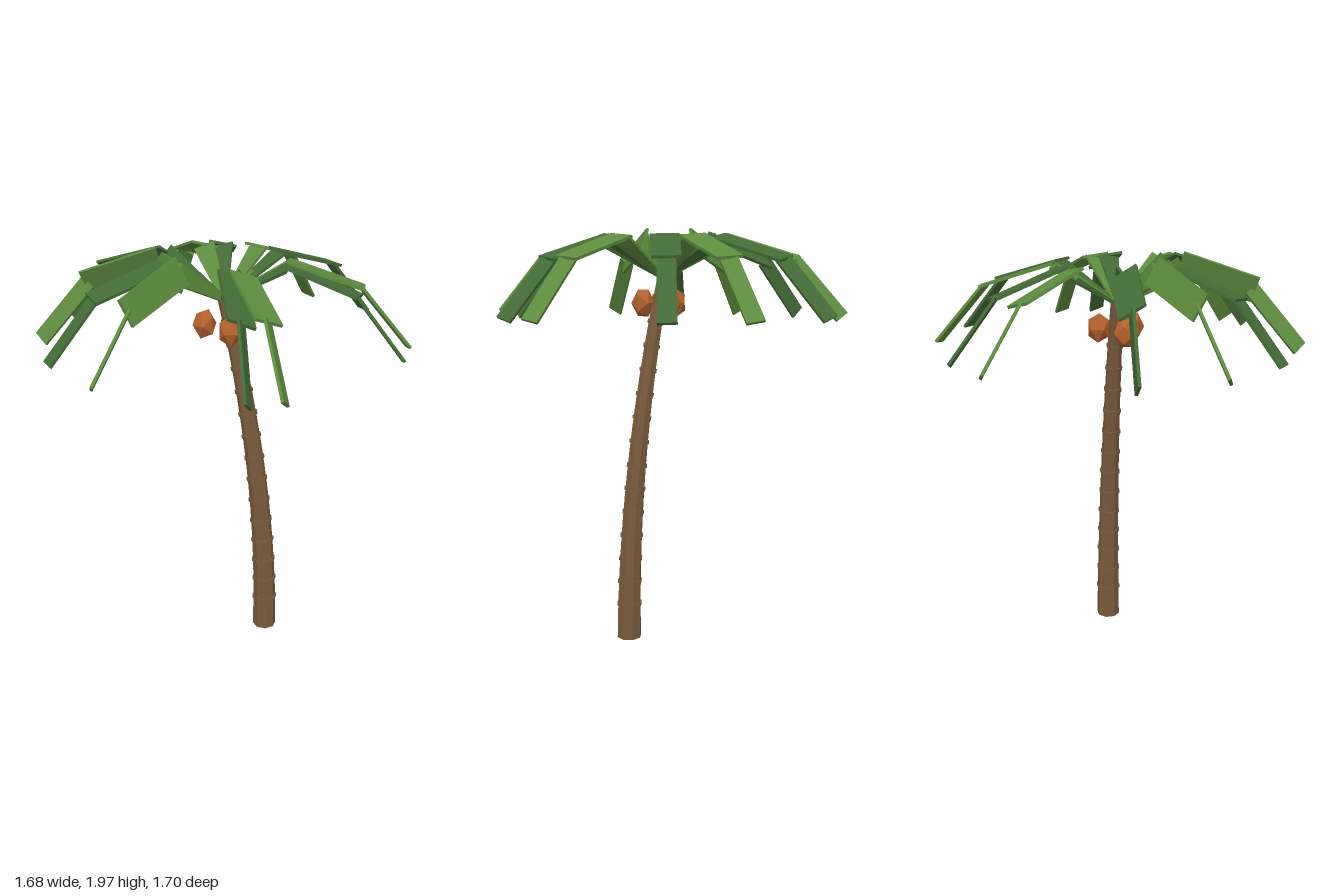
import * as THREE from 'three';

const material = (name, color) => {
  const m = new THREE.MeshStandardMaterial({ color, flatShading: true });
  m.name = name;
  return m;
};

const TOP = 1.73;

// Centre line and radius of the leaning trunk at height y
const lean = (y) => 0.156 * (1 - (y / TOP) ** 2);
const trunkRadius = (y) => 0.059 - 0.028 * (y / TOP);

// Flat leaf plate running along x, with a width at each end
function plate(length, innerWidth, outerWidth) {
  const g = new THREE.BoxGeometry(length, 0.013, 1);
  const p = g.attributes.position;
  for (let i = 0; i < p.count; i++) {
    p.setZ(i, p.getZ(i) * (p.getX(i) < 0 ? innerWidth : outerWidth));
  }
  g.computeVertexNormals();
  return g;
}

export function createModel() {
  const palm = new THREE.Group();
  palm.name = 'palmTree';

  const bark = material('bark brown', 0x7a5a3b);
  const leafLight = material('light leaf green', 0x5d8c3e);
  const leafDark = material('dark leaf green', 0x446c36);
  const nut = material('coconut orange', 0xb5622d);

  const add = (parent, name, geometry, mat) => {
    const mesh = new THREE.Mesh(geometry, mat);
    mesh.name = name;
    parent.add(mesh);
    return mesh;
  };

  // Trunk: an eight-sided column, tapered and bent along its centre line
  const column = new THREE.CylinderGeometry(1, 1, TOP, 8, 15);
  column.rotateY(Math.PI / 8);
  column.translate(0, TOP / 2, 0);
  const p = column.attributes.position;
  for (let i = 0; i < p.count; i++) {
    const y = p.getY(i);
    const r = trunkRadius(y);
    p.setXYZ(i, p.getX(i) * r + lean(y), y, p.getZ(i) * r + lean(y));
  }
  column.computeVertexNormals();
  add(palm, 'trunk', column, bark);

  // Bark rings, tilted to follow the bend
  const rings = new THREE.Group();
  rings.name = 'barkRings';
  palm.add(rings);
  const up = new THREE.Vector3(0, 1, 0);
  for (let i = 0; i < 14; i++) {
    const y = 0.168 + i * 0.1125;
    const r = trunkRadius(y) + 0.005;
    const g = new THREE.CylinderGeometry(r, r, 0.018, 8);
    g.rotateY(Math.PI / 8);
    const ring = add(rings, 'barkRing', g, bark);
    ring.position.set(lean(y), y, lean(y));
    const slope = lean(y + 0.01) - lean(y - 0.01);
    ring.quaternion.setFromUnitVectors(up, new THREE.Vector3(slope, 0.02, slope).normalize());
  }

  // Fronds: three plates each, rising, levelling out and drooping.
  // Turning each plate by the shortest arc gives it its twist.
  const azimuths = [81, 64, 30.5, 5.5, -36.7, -50, -101, -111, -156.5, 179, 154.5, 127.5];
  const sections = [
    { name: 'frondBase', from: [0.01, 1.73], to: [0.3, 1.9], widths: [0.03, 0.1] },
    { name: 'frondMiddle', from: [0.285, 1.91], to: [0.625, 1.805], widths: [0.13, 0.125] },
    { name: 'frondTip', from: [0.605, 1.81], to: [0.835, 1.545], widths: [0.08, 0.08] },
  ];
  const xAxis = new THREE.Vector3(1, 0, 0);
  azimuths.forEach((degrees, i) => {
    const frond = new THREE.Group();
    frond.name = 'frond';
    palm.add(frond);
    const a = THREE.MathUtils.degToRad(degrees);
    const at = ([r, y]) => new THREE.Vector3(r * Math.cos(a), y, -r * Math.sin(a));
    for (const s of sections) {
      const start = at(s.from);
      const end = at(s.to);
      const g = plate(start.distanceTo(end), ...s.widths);
      const leaf = add(frond, s.name, g, i % 2 ? leafDark : leafLight);
      leaf.position.copy(start).add(end).multiplyScalar(0.5);
      leaf.quaternion.setFromUnitVectors(xAxis, end.sub(start).normalize());
    }
  });

  // Coconuts hanging under the crown
  for (const [x, y, z, turn] of [[-0.075, 1.605, -0.05, 0.4], [-0.02, 1.605, 0.1, 1.1], [0.08, 1.61, -0.035, 2]]) {
    const coconut = add(palm, 'coconut', new THREE.IcosahedronGeometry(0.057, 0), nut);
    coconut.scale.y = 1.3;
    coconut.position.set(x, y, z);
    coconut.rotation.y = turn;
  }

  return palm;
}
